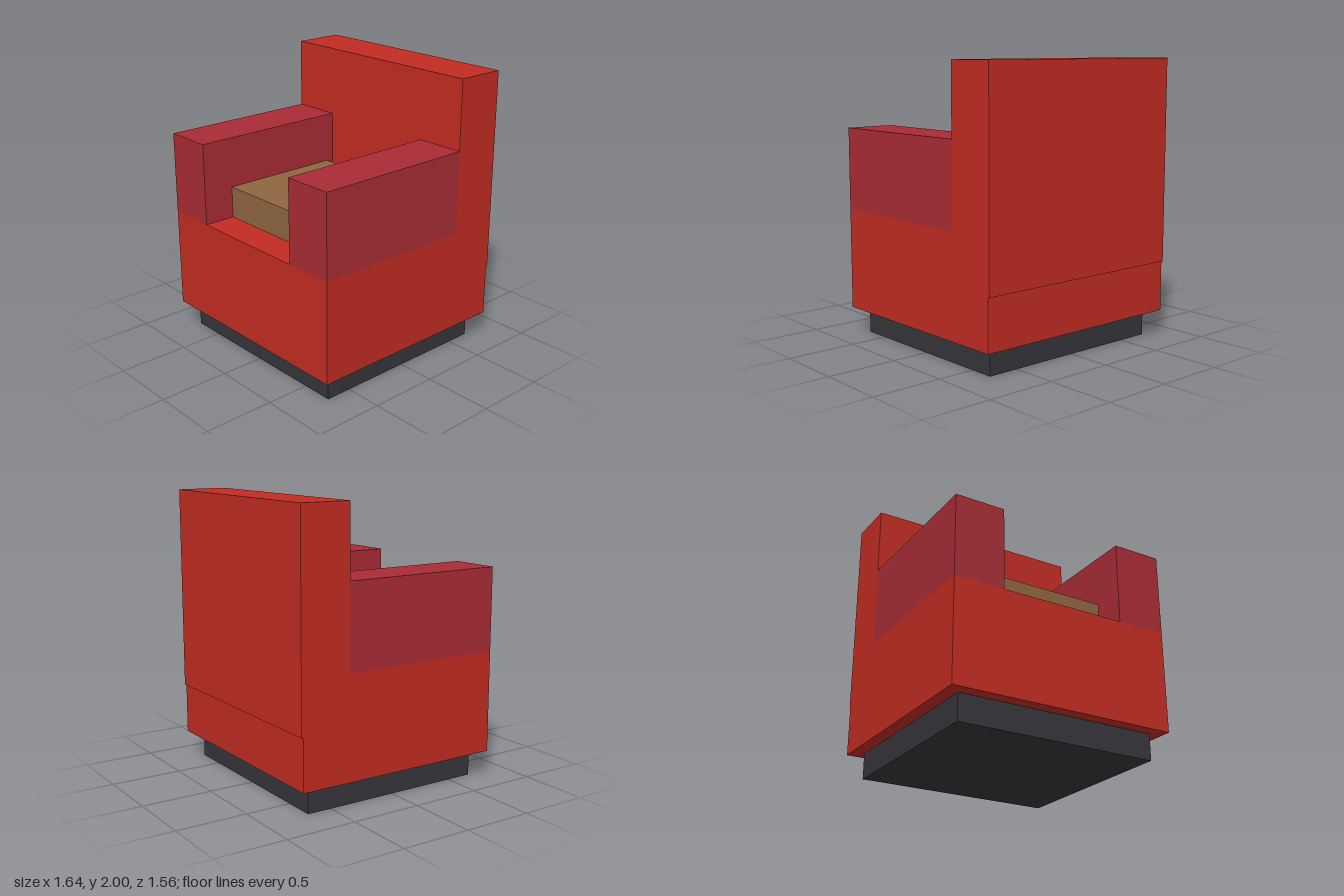
import * as THREE from 'three';

function material(name, color) {
  const m = new THREE.MeshStandardMaterial({ color });
  m.name = name;
  return m;
}

// Box given by its limits on each axis
function block(name, mat, [x0, x1], [y0, y1], [z0, z1]) {
  const mesh = new THREE.Mesh(new THREE.BoxGeometry(x1 - x0, y1 - y0, z1 - z0), mat);
  mesh.position.set((x0 + x1) / 2, (y0 + y1) / 2, (z0 + z1) / 2);
  mesh.name = name;
  return mesh;
}

export function createModel() {
  const red = material('red upholstery', 0xc22c22);
  const crimson = material('crimson armrest', 0xa92c35);
  const tan = material('tan cushion', 0x8f6640);
  const charcoal = material('charcoal plinth', 0x36353b);

  const chair = new THREE.Group();
  chair.name = 'armchair';

  // Recessed plinth, seat body and backrest, which juts slightly out behind
  chair.add(block('plinth', charcoal, [-0.727, 0.727], [0, 0.185], [-0.675, 0.687]));
  chair.add(block('seatBase', red, [-0.818, 0.818], [0.185, 0.912], [-0.766, 0.778]));
  chair.add(block('backrest', red, [-0.818, 0.818], [0.548, 2], [-0.778, -0.414]));

  // Loose seat cushion, set back from the front edge
  chair.add(block('seatCushion', tan, [-0.457, 0.457], [0.912, 1.14], [-0.36, 0.546]));

  // Armrests
  for (const [name, x] of [['leftArmrest', [0.457, 0.818]], ['rightArmrest', [-0.818, -0.457]]]) {
    chair.add(block(name, crimson, x, [0.912, 1.503], [-0.414, 0.778]));
  }

  return chair;
}
